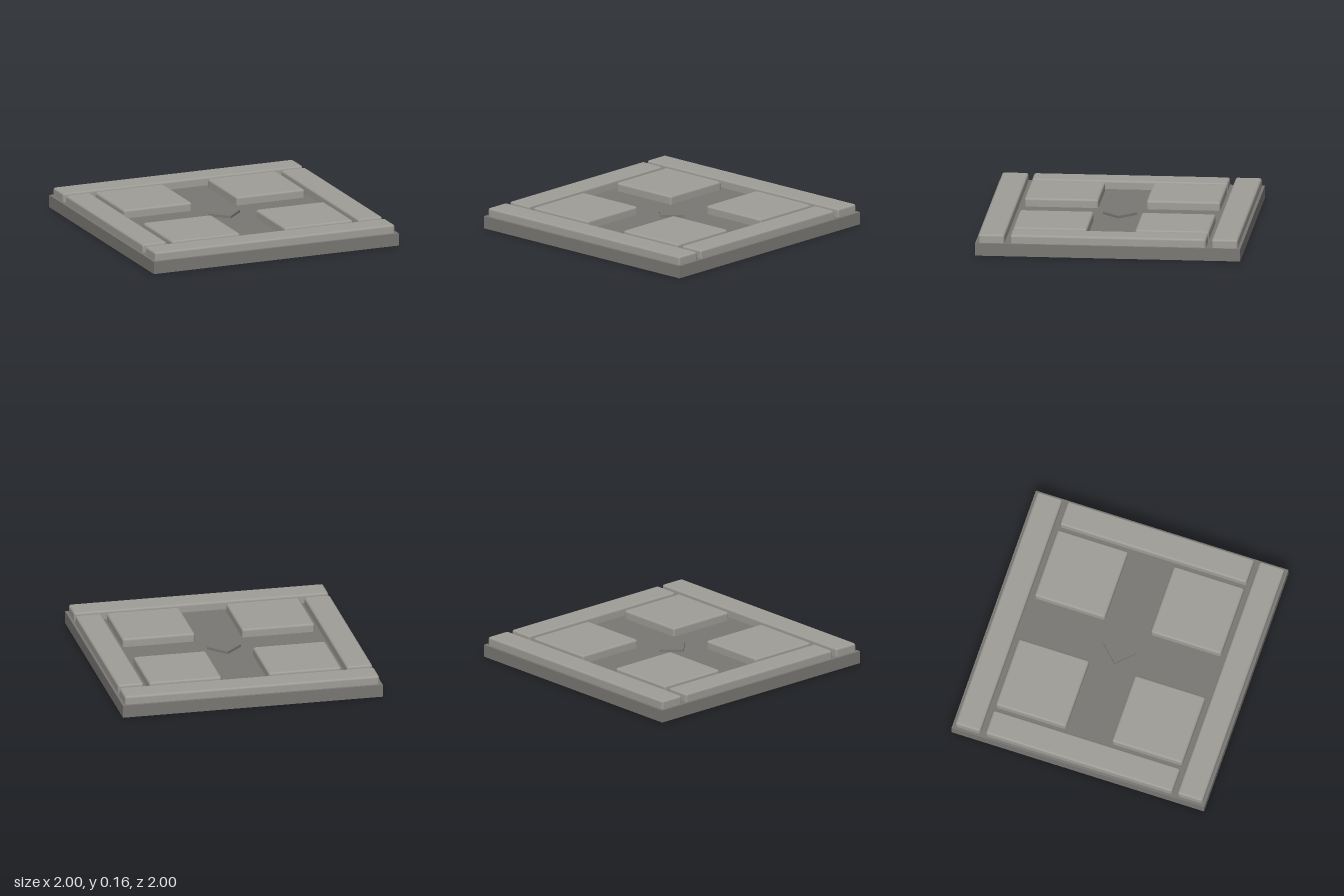
import * as THREE from 'three';
import { RoundedBoxGeometry } from 'three/addons/geometries/RoundedBoxGeometry.js';

export function createModel() {
  const model = new THREE.Group();
  model.name = 'stoneFloorTile';

  const darkStone = new THREE.MeshStandardMaterial({ color: 0x7a7874 });
  darkStone.name = 'dark stone';
  const lightStone = new THREE.MeshStandardMaterial({ color: 0xa09e98 });
  lightStone.name = 'light stone';

  const baseTop = 0.095;
  const stoneTop = 0.16;
  const stoneDepth = 0.1; // partly sunk into the base

  function add(name, geometry, material, x, y, z) {
    const mesh = new THREE.Mesh(geometry, material);
    mesh.name = name;
    mesh.position.set(x, y, z);
    model.add(mesh);
    return mesh;
  }

  // Raised slab with softly chamfered edges
  function addSlab(name, width, length, x, z) {
    const geometry = new RoundedBoxGeometry(width, stoneDepth, length, 1, 0.018);
    add(name, geometry, lightStone, x, stoneTop - stoneDepth / 2, z);
  }

  // Square base
  add('base', new THREE.BoxGeometry(2, baseTop, 2), darkStone, 0, baseTop / 2, 0);

  // Border bars and corner panels
  for (const s of [-1, 1]) {
    addSlab(s > 0 ? 'frontBorder' : 'backBorder', 1.96, 0.2, 0, s * 0.88);
    addSlab(s > 0 ? 'leftBorder' : 'rightBorder', 0.2, 1.48, s * 0.88, 0);
    for (const t of [-1, 1]) {
      const name = (t > 0 ? 'front' : 'back') + (s > 0 ? 'Left' : 'Right') + 'Panel';
      addSlab(name, 0.56, 0.56, s * 0.46, t * 0.46);
    }
  }

  // Small diamond in the middle
  const diamond = add('centreDiamond', new THREE.BoxGeometry(0.184, 0.04, 0.184), darkStone, 0, baseTop, 0);
  diamond.rotation.y = Math.PI / 4;

  return model;
}
